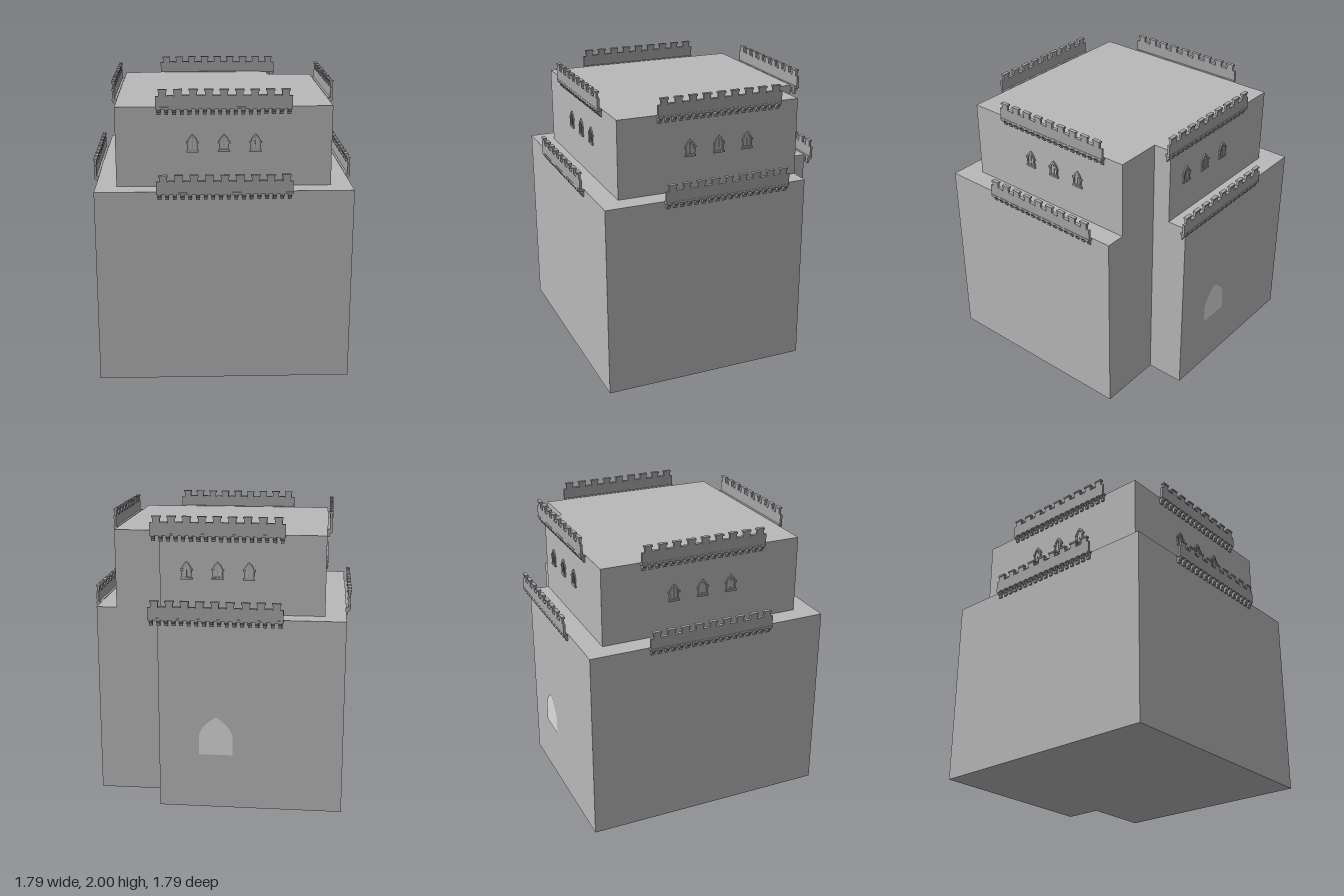
import * as THREE from 'three';

const stone = new THREE.MeshStandardMaterial({ color: 0xb8b8b8 });
stone.name = 'stone';
const trim = new THREE.MeshStandardMaterial({ color: 0xa6a6a6 });
trim.name = 'carved stone';
const pale = new THREE.MeshStandardMaterial({ color: 0xdcdcdc });
pale.name = 'pale doorway';

function add(parent, name, geometry, material, x = 0, y = 0, z = 0) {
  const mesh = new THREE.Mesh(geometry, material);
  mesh.name = name;
  mesh.position.set(x, y, z);
  parent.add(mesh);
  return mesh;
}

// Square storey with the back corner at +x, -z cut away
function storey(half, height) {
  const s = new THREE.Shape([
    [-half, -half], [half, -half], [half, 0.59], [0.39, 0.59], [0.39, half], [-half, half],
  ].map(([x, y]) => new THREE.Vector2(x, y)));
  return new THREE.ExtrudeGeometry(s, { depth: height, bevelEnabled: false }).rotateX(-Math.PI / 2);
}

// Pointed arch outline standing on y = 0
function pointedArch(Type, w, spring, top, y0 = 0) {
  const p = new Type();
  p.moveTo(-w, y0);
  p.lineTo(w, y0);
  p.lineTo(w, spring);
  p.quadraticCurveTo(w * 0.9, spring + (top - spring) * 0.55, 0, top);
  p.quadraticCurveTo(-w * 0.9, spring + (top - spring) * 0.55, -w, spring);
  p.lineTo(-w, y0);
  return p;
}

// Parapet facing +z; its local y = 0 is the wall top, z = 0 the wall face
function parapet() {
  const g = new THREE.Group();
  g.name = 'parapet';
  add(g, 'parapetWall', new THREE.BoxGeometry(0.9, 0.075, 0.016), trim, 0, 0.037, 0.024);
  add(g, 'parapetFoot', new THREE.BoxGeometry(0.9, 0.014, 0.034), trim, 0, -0.004, 0.017);
  // Merlons with projecting caps
  for (let i = -4; i <= 4; i++) {
    const x = i * 0.101;
    add(g, 'merlon', new THREE.BoxGeometry(0.05, 0.042, 0.016), trim, x, 0.093, 0.024);
    add(g, 'merlonCap', new THREE.BoxGeometry(0.06, 0.012, 0.026), trim, x, 0.114, 0.024);
  }
  // Ledges in the gaps between merlons
  for (let i = 0; i < 8; i++) {
    add(g, 'crenelLedge', new THREE.BoxGeometry(0.045, 0.008, 0.024), trim, (i - 3.5) * 0.101, 0.077, 0.024);
  }
  // Corbels: brackets deep at the top and tapering into the wall
  const profile = new THREE.Shape([[0, 0], [0.034, 0], [0.034, -0.014], [0.016, -0.03], [0.012, -0.048], [0, -0.048]]
    .map(([x, y]) => new THREE.Vector2(x, y)));
  const corbel = new THREE.ExtrudeGeometry(profile, { depth: 0.024, bevelEnabled: false })
    .translate(0, 0, -0.012).rotateY(-Math.PI / 2);
  for (let i = 0; i < 18; i++) {
    add(g, 'corbel', corbel, trim, (i - 8.5) * 0.0505, -0.004, 0);
  }
  return g;
}

// Gothic window with frame, mullion and sill, facing +z
function gothicWindow() {
  const g = new THREE.Group();
  g.name = 'window';
  const frame = pointedArch(THREE.Shape, 0.034, 0.06, 0.115);
  frame.holes.push(pointedArch(THREE.Path, 0.023, 0.056, 0.097, 0.012));
  add(g, 'windowFrame', new THREE.ExtrudeGeometry(frame, { depth: 0.009, bevelEnabled: false }), trim);
  add(g, 'windowPane', new THREE.ShapeGeometry(pointedArch(THREE.Shape, 0.025, 0.056, 0.099, 0.01)), stone, 0, 0, 0.002);
  add(g, 'windowMullion', new THREE.BoxGeometry(0.006, 0.08, 0.006), trim, 0, 0.052, 0.003);
  add(g, 'windowSill', new THREE.BoxGeometry(0.08, 0.012, 0.012), trim, 0, 0, 0.005);
  for (const s of [-1, 1]) {
    add(g, 'windowImpost', new THREE.BoxGeometry(0.014, 0.012, 0.011), trim, s * 0.034, 0.06, 0.005);
  }
  return g;
}

export function createModel() {
  const model = new THREE.Group();
  model.name = 'castleKeep';

  add(model, 'lowerStorey', storey(0.86, 1.34), stone);
  add(model, 'upperStorey', storey(0.72, 0.54), stone, 0, 1.34, 0);

  // Parapets and windows repeat on all four sides
  for (let k = 0; k < 4; k++) {
    const side = new THREE.Group();
    side.name = 'keepSide';
    side.rotation.y = k * Math.PI / 2;
    for (const [y, z] of [[1.34, 0.86], [1.88, 0.72]]) {
      const p = parapet();
      p.position.set(0, y, z);
      side.add(p);
    }
    for (const x of [-0.21, 0, 0.21]) {
      const w = gothicWindow();
      w.position.set(x, 1.58, 0.72);
      side.add(w);
    }
    model.add(side);
  }

  // Raised doorway in the back wall
  const door = pointedArch(THREE.Shape, 0.115, 0.13, 0.27);
  add(model, 'doorway', new THREE.ShapeGeometry(door), pale, 0, 0.385, -0.864).rotation.y = Math.PI;

  return model;
}
